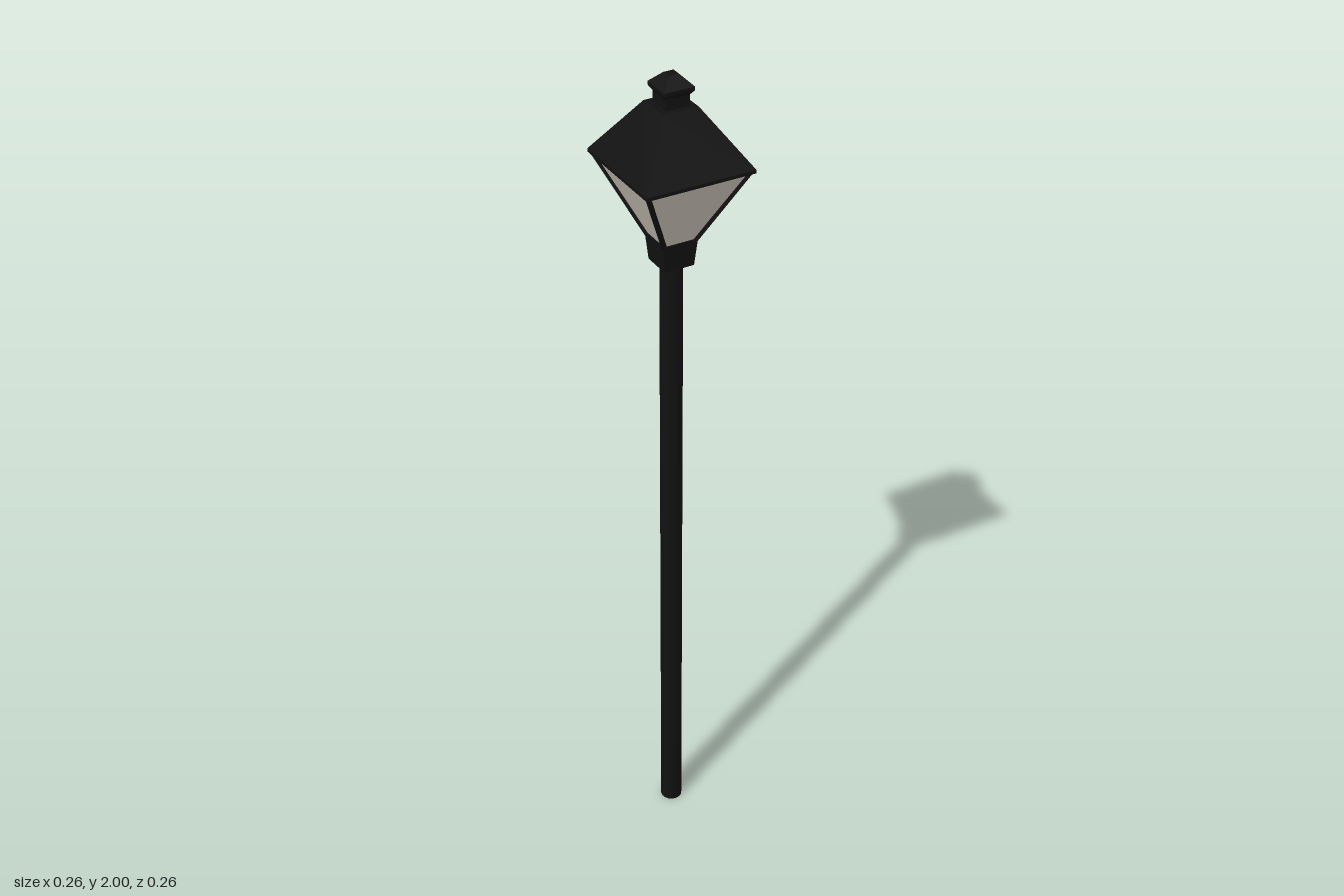
import * as THREE from 'three';

const black = new THREE.MeshStandardMaterial({ color: 0x111111, flatShading: true });
const blackSmooth = new THREE.MeshStandardMaterial({ color: 0x111111 });
const pane = new THREE.MeshStandardMaterial({ color: 0xcfc9be, flatShading: true });

// Stack of square sections, each given as [half width, height]
function squareStack(name, sections, material) {
  const points = sections.map(([half, y]) => new THREE.Vector2(half * Math.SQRT2, y));
  const mesh = new THREE.Mesh(new THREE.LatheGeometry(points, 4, Math.PI / 4), material);
  mesh.name = name;
  return mesh;
}

// Square bar between two points
function bar(name, a, b, width) {
  const mesh = new THREE.Mesh(new THREE.BoxGeometry(width, width, a.distanceTo(b)), black);
  mesh.position.copy(a).lerp(b, 0.5);
  mesh.lookAt(b);
  mesh.name = name;
  return mesh;
}

export function createModel() {
  const lamp = new THREE.Group();
  lamp.name = 'streetLamp';

  // Round post
  const post = new THREE.Mesh(new THREE.CylinderGeometry(0.026, 0.026, 1.57, 16), blackSmooth);
  post.position.y = 0.785;
  post.name = 'post';
  lamp.add(post);

  // Tapered collar that holds the lantern
  lamp.add(squareStack('collar', [[0, 1.557], [0.036, 1.557], [0.042, 1.622], [0, 1.622]], black));

  // Glass body, widening upwards
  lamp.add(squareStack('glass', [[0, 1.62], [0.038, 1.62], [0.122, 1.797], [0, 1.797]], pane));

  // Corner bars of the lantern
  const frame = new THREE.Group();
  frame.name = 'lanternFrame';
  for (const sx of [-1, 1]) {
    for (const sz of [-1, 1]) {
      frame.add(bar('cornerBar',
        new THREE.Vector3(sx * 0.038, 1.618, sz * 0.038),
        new THREE.Vector3(sx * 0.122, 1.797, sz * 0.122), 0.009));
    }
  }
  lamp.add(frame);

  // Roof with a thin eave
  lamp.add(squareStack('roof',
    [[0, 1.795], [0.13, 1.795], [0.13, 1.803], [0.042, 1.93], [0, 1.93]], black));

  // Stepped finial
  lamp.add(squareStack('finial', [
    [0, 1.925], [0.028, 1.925], [0.028, 1.955], [0.036, 1.966], [0.036, 1.974],
    [0.022, 1.988], [0.012, 1.998], [0, 2],
  ], black));

  return lamp;
}
